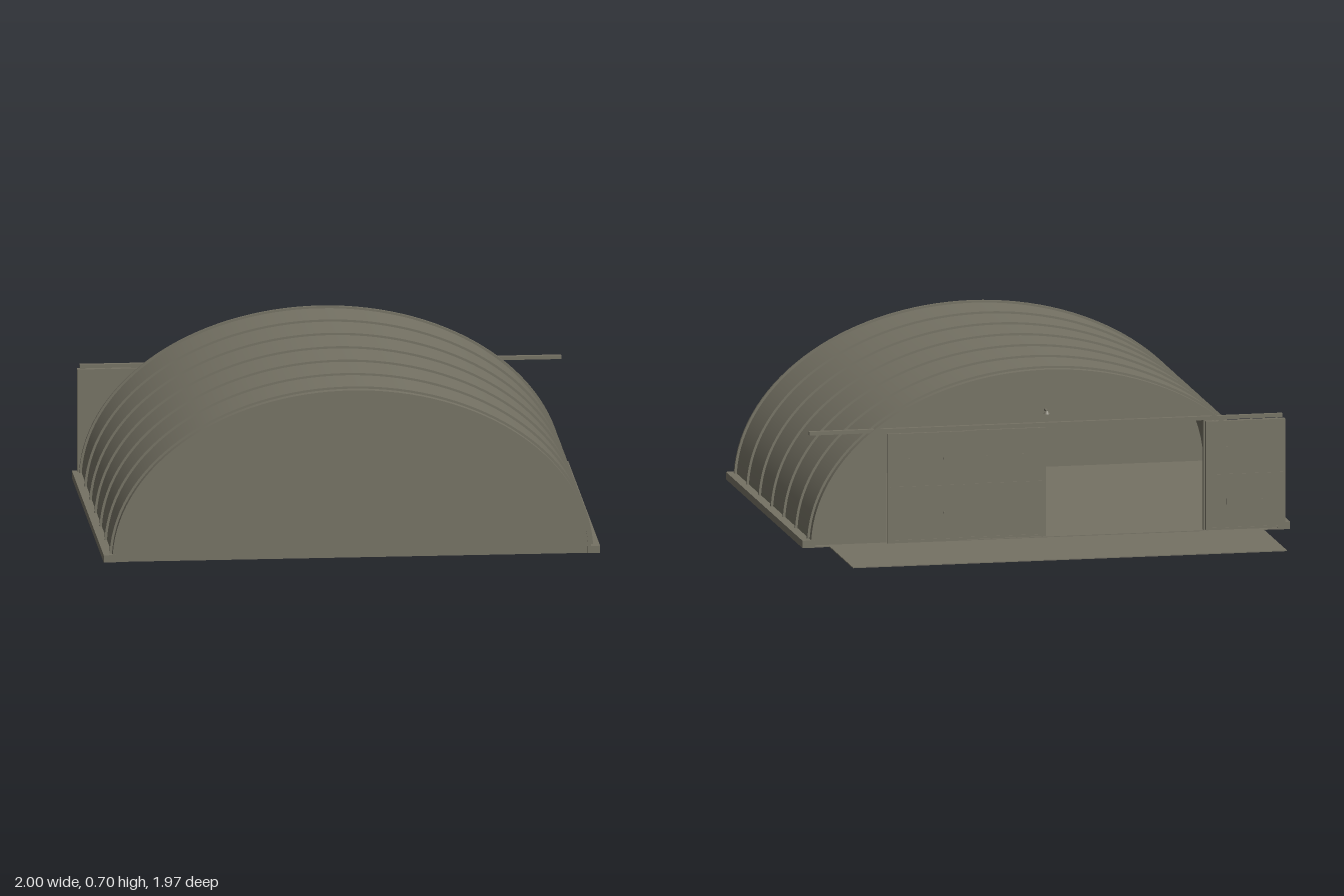
import * as THREE from 'three';
import { toCreasedNormals } from 'three/addons/utils/BufferGeometryUtils.js';

const SHELL_A = 0.965, SHELL_B = 0.69, BACK = -0.522, FRONT = 0.98;

// Points of a half ellipse from +x over the top to -x
function arc(a, b, n = 64) {
  return Array.from({ length: n + 1 }, (_, i) => {
    const t = (Math.PI * i) / n;
    return new THREE.Vector2(a * Math.cos(t), b * Math.sin(t));
  });
}

function extrude(points, z0, z1) {
  const geo = new THREE.ExtrudeGeometry(new THREE.Shape(points), { depth: z1 - z0, bevelEnabled: false });
  geo.translate(0, 0, z0);
  return toCreasedNormals(geo, 0.5);
}

// Arched band of the given wall thickness
function archBand(a, b, t, z0, z1) {
  return extrude([...arc(a, b), ...arc(a - t, b - t).reverse()], z0, z1);
}

export function createModel() {
  const model = new THREE.Group();
  model.name = 'hangar';
  const concrete = new THREE.MeshStandardMaterial({ color: 0x757264 });
  concrete.name = 'olive grey';

  const add = (name, geo, parent = model) => {
    const mesh = new THREE.Mesh(geo, concrete);
    mesh.name = name;
    parent.add(mesh);
    return mesh;
  };
  // Box given by its limits
  const box = (name, x0, x1, y0, y1, z0, z1, parent = model) => {
    const mesh = add(name, new THREE.BoxGeometry(x1 - x0, y1 - y0, z1 - z0), parent);
    mesh.position.set((x0 + x1) / 2, (y0 + y1) / 2, (z0 + z1) / 2);
    return mesh;
  };

  // Vaulted roof and its seven ribs
  add('roofShell', archBand(SHELL_A, SHELL_B, 0.012, BACK, FRONT));
  for (let i = 0; i < 7; i++) {
    const z = 0.942 - i * 0.2378;
    add('roofRib', archBand(SHELL_A + 0.01, SHELL_B + 0.009, 0.015, z - 0.006, z + 0.006));
  }

  // Solid front end wall, just inside the shell
  add('frontWall', extrude(arc(SHELL_A - 0.006, SHELL_B - 0.006), 0.955, 0.973));

  // Back end wall with a wide doorway
  const doorway = [[-0.65, 0], [-0.65, 0.455], [0.65, 0.455], [0.65, 0]].map(p => new THREE.Vector2(...p));
  add('backWall', extrude([...arc(SHELL_A - 0.006, SHELL_B - 0.006), ...doorway], -0.495, -0.48));

  // Floor and apron
  box('floor', -0.95, 0.95, 0, 0.004, -0.522, 0.972);
  box('apron', -0.89, 0.89, 0, 0.004, -0.985, -0.522);

  // Foundation curbs along both sides
  for (const s of [-1, 1]) {
    const curb = box('curb', -0.025, 0.025, 0, 0.03, BACK - 0.003, FRONT);
    curb.position.x = s * 0.975;
  }

  // Door rails, above and in the floor
  box('doorRail', -0.97, 0.97, 0.457, 0.472, -0.516, -0.498);
  box('floorRail', -0.65, 0.65, 0.004, 0.007, -0.518, -0.506);

  // Sliding door leaf: panel, raised frame, middle bar, bolts and handle
  function door(x0, z, outer) {
    const leaf = new THREE.Group();
    leaf.name = 'slidingDoor';
    model.add(leaf);
    const x1 = x0 + 0.325, y0 = 0.008, y1 = 0.452, f = 0.009;
    box('doorPanel', x0, x1, y0, y1, z, z + 0.009, leaf);
    for (const x of [x0, x1 - f]) box('doorStile', x, x + f, y0, y1, z - 0.003, z, leaf);
    for (const y of [y0, 0.226, y1 - f]) box('doorBar', x0 + f, x1 - f, y, y + f, z - 0.003, z, leaf);
    for (const x of [0.09, 0.235]) {
      for (const y of [0.12, 0.34]) box('doorBolt', x0 + x, x0 + x + 0.008, y, y + 0.008, z - 0.003, z, leaf);
    }
    if (outer) box('doorHandle', x0 + 0.235, x0 + 0.241, 0.11, 0.135, z - 0.008, z, leaf);
  }
  door(0.325, -0.522, true);
  door(0, -0.511, false);
  door(-0.98, -0.522, true);
  door(-0.98, -0.508, false);

  // Lamp above the doorway
  const lamp = new THREE.Group();
  lamp.name = 'lamp';
  model.add(lamp);
  box('lampArm', -0.004, 0.004, 0.52, 0.527, -0.535, -0.495, lamp);
  add('lampShade', new THREE.CylinderGeometry(0.005, 0.013, 0.012, 16), lamp).position.set(0, 0.518, -0.535);

  return model;
}
